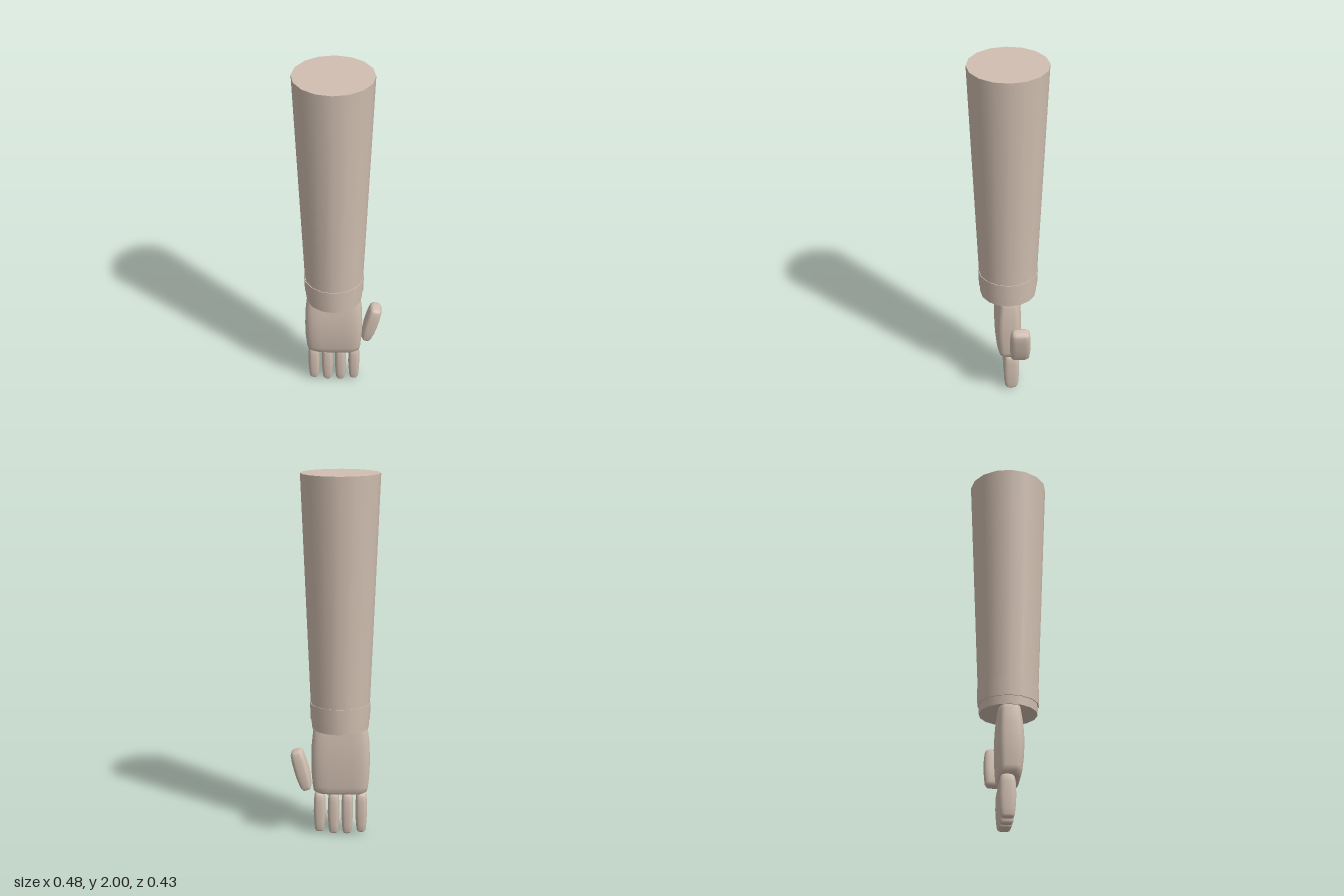
import * as THREE from 'three';

const skin = new THREE.MeshStandardMaterial({ color: 0xd0beb0 });
skin.name = 'warm beige';

// Smooth closed solid from rounded-rectangle sections [y, halfX, halfZ, centreX, centreZ], bottom to top
function loft(sections, power = 3, sides = 24) {
  const pos = [], idx = [];
  const soft = (v) => Math.sign(v) * Math.pow(Math.abs(v), 2 / power);
  for (const [y, hx, hz, cx = 0, cz = 0] of sections) {
    for (let i = 0; i < sides; i++) {
      const a = (i / sides) * Math.PI * 2;
      pos.push(cx + hx * soft(Math.sin(a)), y, cz + hz * soft(Math.cos(a)));
    }
  }
  for (let r = 0; r < sections.length - 1; r++) {
    for (let i = 0; i < sides; i++) {
      const a = r * sides + i, b = r * sides + ((i + 1) % sides);
      idx.push(a, b, b + sides, a, b + sides, a + sides);
    }
  }
  // End caps
  const last = sections.length - 1;
  for (const [r, top] of [[0, false], [last, true]]) {
    const [y, , , cx = 0, cz = 0] = sections[r];
    const c = pos.length / 3;
    pos.push(cx, y, cz);
    for (let i = 0; i < sides; i++) {
      const a = r * sides + i, b = r * sides + ((i + 1) % sides);
      if (top) idx.push(c, a, b);
      else idx.push(c, b, a);
    }
  }
  const g = new THREE.BufferGeometry();
  g.setAttribute('position', new THREE.Float32BufferAttribute(pos, 3));
  g.setIndex(idx);
  g.computeVertexNormals();
  return g;
}

export function createModel() {
  const model = new THREE.Group();
  model.name = 'forearm';
  const add = (name, geometry, x = 0, y = 0, z = 0) => {
    const mesh = new THREE.Mesh(geometry, skin);
    mesh.name = name;
    mesh.position.set(x, y, z);
    model.add(mesh);
    return mesh;
  };
  const armX = -0.028;

  // Tapered sleeve, with a raised band and a narrower rim at the wrist
  const tube = (name, rTop, rBottom, y0, y1) =>
    add(name, new THREE.CylinderGeometry(rTop, rBottom, y1 - y0, 16), armX, (y0 + y1) / 2, 0);
  tube('sleeve', 0.213, 0.16, 0.70, 2.0);
  tube('cuffBand', 0.166, 0.163, 0.66, 0.755);
  tube('cuffRim', 0.158, 0.156, 0.612, 0.662);

  // Palm
  add('palm', loft([
    [0.232, 0.09, 0.035, 0, 0],
    [0.236, 0.125, 0.05, 0, 0],
    [0.25, 0.148, 0.06, 0, 0],
    [0.28, 0.154, 0.066, 0, 0.002],
    [0.36, 0.161, 0.073, 0, 0.004],
    [0.44, 0.162, 0.075, 0, 0.004],
    [0.52, 0.159, 0.071, 0, 0.003],
    [0.59, 0.151, 0.063, 0, 0.001],
    [0.64, 0.14, 0.055, 0, 0],
  ], 4, 32), -0.03, 0, 0);

  // Four fingers, the middle pair reaching slightly lower
  const finger = loft([
    [0.0, 0.014, 0.022],
    [0.004, 0.021, 0.03],
    [0.014, 0.026, 0.036],
    [0.05, 0.029, 0.041],
    [0.12, 0.033, 0.045],
    [0.19, 0.031, 0.043],
    [0.22, 0.028, 0.038],
    [0.232, 0.022, 0.031],
    [0.237, 0.014, 0.022],
  ]);
  [[-0.146, 0.012], [-0.068, 0.002], [0.008, 0.002], [0.086, 0.012]].forEach(([x, y], i) => {
    const mesh = add('finger' + (i + 1), finger, x, y, -0.013);
    mesh.scale.y = (0.239 - y) / 0.237;
  });

  // Thumb, leaning outward toward its upper end
  const thumb = add('thumb', loft([
    [-0.113, 0.014, 0.032],
    [-0.109, 0.022, 0.044],
    [-0.095, 0.03, 0.052],
    [-0.05, 0.037, 0.056],
    [0.0, 0.04, 0.058],
    [0.06, 0.039, 0.056],
    [0.1, 0.035, 0.051],
    [0.112, 0.028, 0.043],
    [0.117, 0.018, 0.032],
  ], 3.4), 0.181, 0.381, -0.057);
  thumb.rotation.z = -0.26;

  return model;
}
